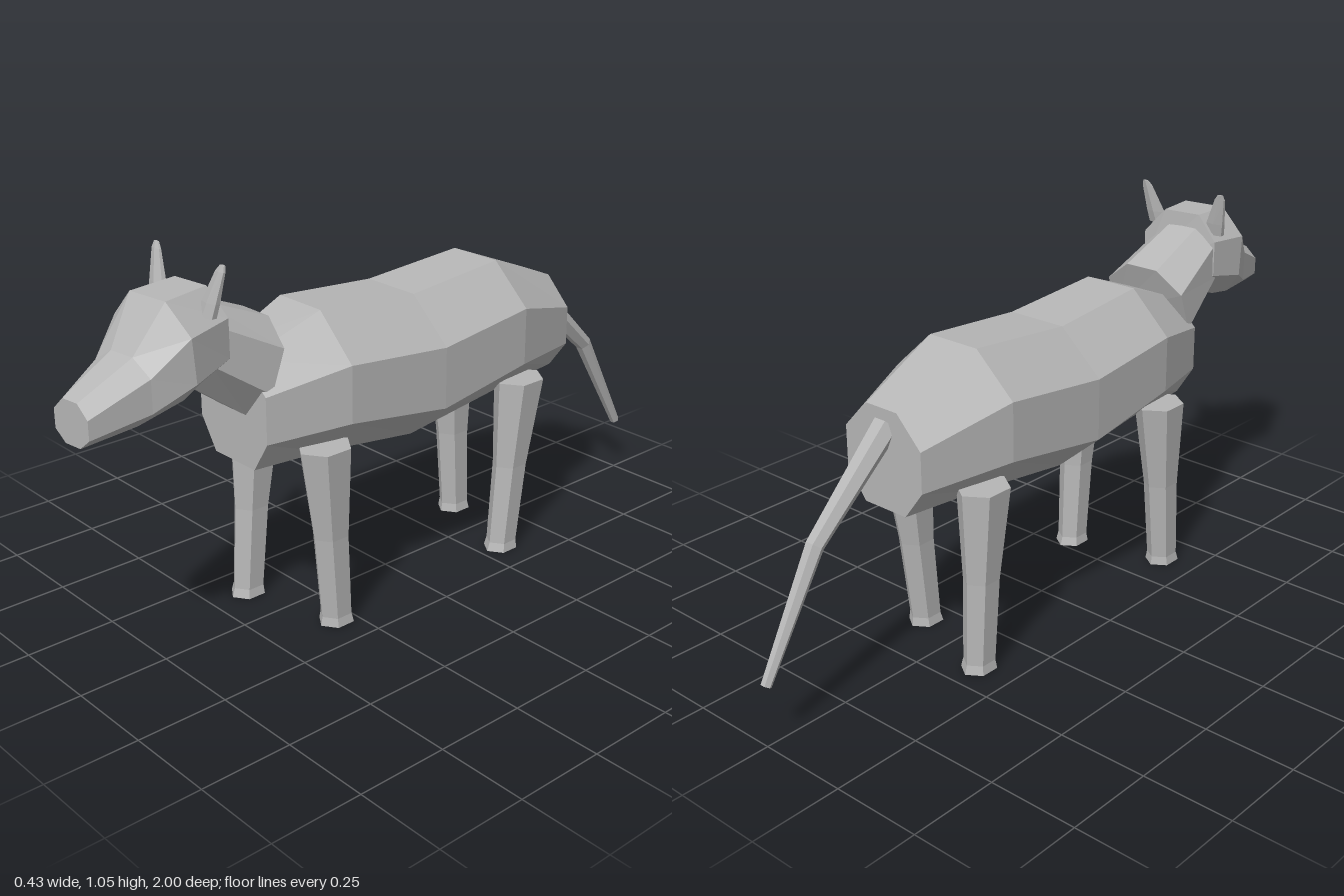
import * as THREE from 'three';

const coat = new THREE.MeshStandardMaterial({ color: 0xb6b6b6, flatShading: true });
coat.name = 'plain grey';

// Closed skin over rings of points (counter-clockwise seen from the last ring's side)
function loft(name, rings) {
  const pos = [];
  const tri = (a, b, c) => [a, b, c].forEach((p) => pos.push(p.x, p.y, p.z));
  const n = rings[0].length;
  const last = rings[rings.length - 1];
  for (let i = 0; i < rings.length - 1; i++) {
    for (let j = 0; j < n; j++) {
      const k = (j + 1) % n;
      const [a, b, c, d] = [rings[i][j], rings[i][k], rings[i + 1][k], rings[i + 1][j]];
      tri(a, b, c);
      tri(a, c, d);
    }
  }
  for (let j = 1; j < n - 1; j++) {
    tri(rings[0][0], rings[0][j + 1], rings[0][j]);
    tri(last[0], last[j], last[j + 1]);
  }
  const geo = new THREE.BufferGeometry();
  geo.setAttribute('position', new THREE.Float32BufferAttribute(pos, 3));
  geo.computeVertexNormals();
  const mesh = new THREE.Mesh(geo, coat);
  mesh.name = name;
  return mesh;
}

// Eight-sided section: heights and depths listed as top, upper, lower, bottom
function octagon(half, topHalf, bottomHalf, y, z) {
  const d = Array.isArray(z) ? z : [z, z, z, z];
  const p = (x, i) => new THREE.Vector3(x, y[i], d[i]);
  return [p(half, 2), p(half, 1), p(topHalf, 0), p(-topHalf, 0),
    p(-half, 1), p(-half, 2), p(-bottomHalf, 3), p(bottomHalf, 3)];
}

// Level polygon for upright parts
function levelRing(x, y, z, rx, rz, sides = 6) {
  return Array.from({ length: sides }, (_, i) => {
    const t = (i / sides) * Math.PI * 2;
    return new THREE.Vector3(x + Math.sin(t) * rx, y, z + Math.cos(t) * rz);
  });
}

export function createModel() {
  const model = new THREE.Group();
  model.name = 'animal';

  // Trunk, rump to chest
  model.add(loft('body', [
    octagon(0.13, 0.052, 0.07, [0.75, 0.67, 0.56, 0.48], -0.585),
    octagon(0.20, 0.08, 0.08, [0.85, 0.74, 0.58, 0.465], -0.335),
    octagon(0.215, 0.088, 0.08, [0.825, 0.71, 0.54, 0.425], -0.02),
    octagon(0.20, 0.08, 0.08, [0.85, 0.735, 0.58, 0.465], 0.29),
    octagon(0.135, 0.055, 0.08, [0.765, 0.69, 0.565, 0.48], 0.51),
  ]));

  // Neck
  model.add(loft('neck', [
    octagon(0.13, 0.052, 0.052, [0.86, 0.80, 0.69, 0.62], [0.43, 0.445, 0.485, 0.51]),
    octagon(0.105, 0.045, 0.045, [0.94, 0.895, 0.80, 0.735], [0.62, 0.63, 0.645, 0.665]),
  ]));

  // Head, turned slightly to its left
  const head = new THREE.Group();
  head.name = 'head';
  const pivot = new THREE.Vector3(0.005, 0, 0.62);
  const skull = loft('skull', [
    octagon(0.115, 0.055, 0.055, [0.98, 0.91, 0.81, 0.745], [0.622, 0.612, 0.612, 0.65]),
    octagon(0.135, 0.062, 0.06, [0.975, 0.90, 0.785, 0.72], [0.755, 0.745, 0.735, 0.715]),
    octagon(0.098, 0.038, 0.042, [0.858, 0.82, 0.735, 0.69], 0.84),
    octagon(0.06, 0.026, 0.026, [0.79, 0.757, 0.708, 0.68], 0.995),
  ]);
  skull.geometry.translate(0, 0, -pivot.z);
  head.add(skull);
  head.position.copy(pivot);
  head.rotation.y = 0.12;
  model.add(head);

  // Ears: flat, tapering and splayed outward
  for (const s of [1, -1]) {
    const cx = 0.01;
    model.add(loft(s > 0 ? 'leftEar' : 'rightEar', [
      levelRing(cx + s * 0.098, 0.925, 0.652, 0.034, 0.014),
      levelRing(cx + s * 0.107, 0.96, 0.645, 0.031, 0.013),
      levelRing(cx + s * 0.128, 1.035, 0.63, 0.018, 0.006),
      levelRing(cx + s * 0.132, 1.05, 0.626, 0.009, 0.004),
    ]));
  }

  // Legs: side, top depth, foot depth
  const legs = [
    ['leftFrontLeg', 1, 0.335, 0.30],
    ['rightFrontLeg', -1, 0.338, 0.382],
    ['leftBackLeg', 1, -0.375, -0.325],
    ['rightBackLeg', -1, -0.385, -0.408],
  ];
  for (const [name, s, top, foot] of legs) {
    const rings = [[0, 0.053], [0.025, 0.047], [0.26, 0.053], [0.515, 0.077]].map(([y, r]) => {
      const z = THREE.MathUtils.lerp(foot, top, y / 0.515);
      return levelRing(s * (0.139 + y * 0.008), y, z, r * 0.866, r);
    });
    const hex = loft(name, rings);
    model.add(hex);
  }

  // Tail, tip to root, sections square to its path
  const path = [[0.165, -0.99, 0.014, 1.05], [0.47, -0.815, 0.024, 0.9], [0.70, -0.57, 0.035, 0.75]];
  model.add(loft('tail', path.map(([y, z, r, slope]) =>
    Array.from({ length: 6 }, (_, i) => {
      const t = (i / 6) * Math.PI * 2;
      const up = Math.sin(t) * r;
      return new THREE.Vector3(Math.cos(t) * r, y + up * Math.cos(slope), z - up * Math.sin(slope));
    }))));

  return model;
}
